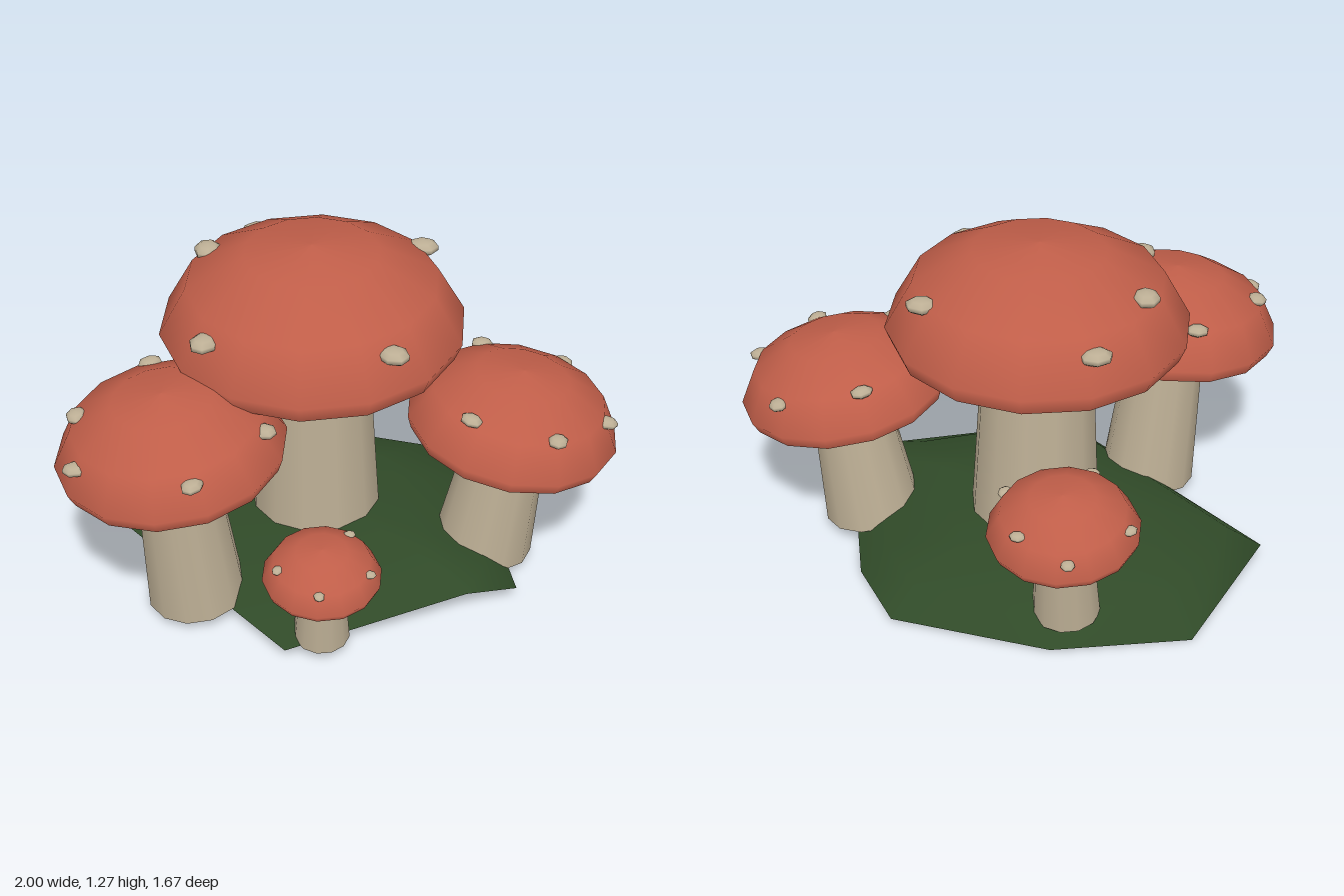
import * as THREE from 'three';

const material = (name, color, side = THREE.FrontSide) => {
  const m = new THREE.MeshStandardMaterial({ color, side });
  m.name = name;
  return m;
};

// Cap outline for a cap of radius 1, from rim to crown: [radius, height]
const CAP = [[0.95, 0], [1, 0.12], [0.82, 0.44], [0.44, 0.64], [0, 0.695]];
const SIDES = 14;

// Each mushroom: foot and cap-rim centres, cap and stem radii, spot positions in plan (x, z)
const MUSHROOMS = [
  { name: 'centreMushroom', foot: [0.01, 0.17, -0.01], rim: [-0.005, 0.9, 0], cap: 0.545, stem: [0.2, 0.24],
    spots: [[-0.04, -0.48], [-0.29, -0.29], [0.44, -0.06], [-0.46, 0.16], [0.11, 0.47]] },
  { name: 'rightMushroom', foot: [-0.535, 0.055, 0.21], rim: [-0.605, 0.67, 0.22], cap: 0.405, stem: [0.14, 0.178],
    spots: [[-0.56, -0.1], [-0.88, 0.08], [-0.96, 0.29], [-0.63, 0.57], [-0.32, 0.42]] },
  { name: 'leftMushroom', foot: [0.55, 0.07, 0.325], rim: [0.615, 0.57, 0.36], cap: 0.385, stem: [0.14, 0.182],
    spots: [[0.61, 0.05], [0.89, 0.18], [0.87, 0.56], [0.62, 0.66], [0.36, 0.5]] },
  { name: 'backMushroom', foot: [0.075, 0.09, -0.53], rim: [0.1, 0.445, -0.565], cap: 0.27, stem: [0.1, 0.122],
    spots: [[-0.09, -0.72], [0.17, -0.8], [0.29, -0.64], [0.25, -0.39], [-0.07, -0.4]] },
  { name: 'frontMushroom', foot: [-0.2, 0.06, 0.598], rim: [-0.21, 0.325, 0.625], cap: 0.208, stem: [0.08, 0.1],
    spots: [[-0.08, 0.55], [-0.28, 0.78], [-0.08, 0.74], [-0.37, 0.62]] },
];

// Height of the unit cap at a given distance from its axis
function capHeight(r) {
  for (let i = 1; i < CAP.length - 1; i++) {
    const [r0, y0] = CAP[i], [r1, y1] = CAP[i + 1];
    if (r <= r0 && r >= r1) return y0 + (y1 - y0) * (r0 - r) / (r0 - r1);
  }
  return CAP[1][1];
}

function mushroom(spec, mats) {
  const group = new THREE.Group();
  group.name = spec.name;
  const add = (name, geometry, mat, y) => {
    const mesh = new THREE.Mesh(geometry, mat);
    mesh.name = name;
    mesh.position.y = y;
    group.add(mesh);
    return mesh;
  };

  // Lean the whole mushroom along the line from foot to cap
  const foot = new THREE.Vector3(...spec.foot);
  const axis = new THREE.Vector3(...spec.rim).sub(foot);
  const length = axis.length();
  group.position.copy(foot);
  group.quaternion.setFromUnitVectors(new THREE.Vector3(0, 1, 0), axis.normalize());

  const R = spec.cap;
  add('stem', new THREE.CylinderGeometry(spec.stem[0], spec.stem[1], length, 12), mats.stem, length / 2);
  add('cap', new THREE.LatheGeometry(CAP.map(([r, y]) => new THREE.Vector2(r * R, y * R)), SIDES), mats.cap, length);

  // Flat disc closing the cap from below, with corners matching the rim
  const disc = new THREE.CircleGeometry(CAP[0][0] * R, SIDES, Math.PI / 2).rotateX(Math.PI / 2);
  add('capUnderside', disc, mats.underside, length);

  // Flattened bumps around the cap
  spec.spots.forEach(([x, z], i) => {
    const dx = (x - spec.rim[0]) / R, dz = (z - spec.rim[2]) / R;
    const r = Math.hypot(dx, dz), k = Math.min(r, 0.88) / r;
    const spot = add('spot', new THREE.SphereGeometry(0.11 * R, 7, 5), mats.stem, length + capHeight(r * k) * R);
    spot.position.x = dx * k * R;
    spot.position.z = dz * k * R;
    spot.scale.set(1, 0.45, 0.85);
    spot.rotation.y = i * 1.3;
  });
  return group;
}

// Uneven grassy mound: rim polygon lofted through rings up to a low crown
function mound(mat) {
  const rim = [
    [-0.32, 0.005, -0.75], [0.18, 0.02, -0.65], [0.66, 0.02, -0.3], [0.69, 0.02, 0],
    [0.55, 0.06, 0.62], [0.34, 0.11, 0.64], [-0.35, 0.05, 0.63], [-0.74, 0.075, -0.41],
  ];
  const rings = [[1, 0], [0.85, 0.5], [0.5, 0.92]];
  const top = 0.205, n = rim.length;
  const pos = [], index = [];
  for (const [s, lift] of rings) {
    for (const [x, y, z] of rim) pos.push(x * s, y + (top - y) * lift, z * s);
  }
  const crown = pos.length / 3;
  pos.push(0, top, 0);
  // Underside has its own corners so the rim stays sharp
  const under = crown + 1;
  for (const p of rim) pos.push(...p);
  pos.push(0, 0.04, 0);
  for (let i = 0; i < n; i++) {
    const j = (i + 1) % n;
    for (let k = 0; k < rings.length - 1; k++) {
      const a = k * n + i, b = k * n + j;
      index.push(a, a + n, b, b, a + n, b + n);
    }
    const last = (rings.length - 1) * n;
    index.push(crown, last + j, last + i);
    index.push(under + n, under + i, under + j);
  }
  const g = new THREE.BufferGeometry();
  g.setAttribute('position', new THREE.Float32BufferAttribute(pos, 3));
  g.setIndex(index);
  g.computeVertexNormals();
  const mesh = new THREE.Mesh(g, mat);
  mesh.name = 'grassMound';
  return mesh;
}

export function createModel() {
  const mats = {
    cap: material('capRed', 0xc05e49),
    stem: material('stemCream', 0xbdaf95),
    underside: material('undersideBrown', 0x765d50),
    grass: material('grassGreen', 0x304a28),
  };
  const model = new THREE.Group();
  model.name = 'mushroomCluster';
  model.add(mound(mats.grass));
  for (const spec of MUSHROOMS) model.add(mushroom(spec, mats));
  return model;
}
